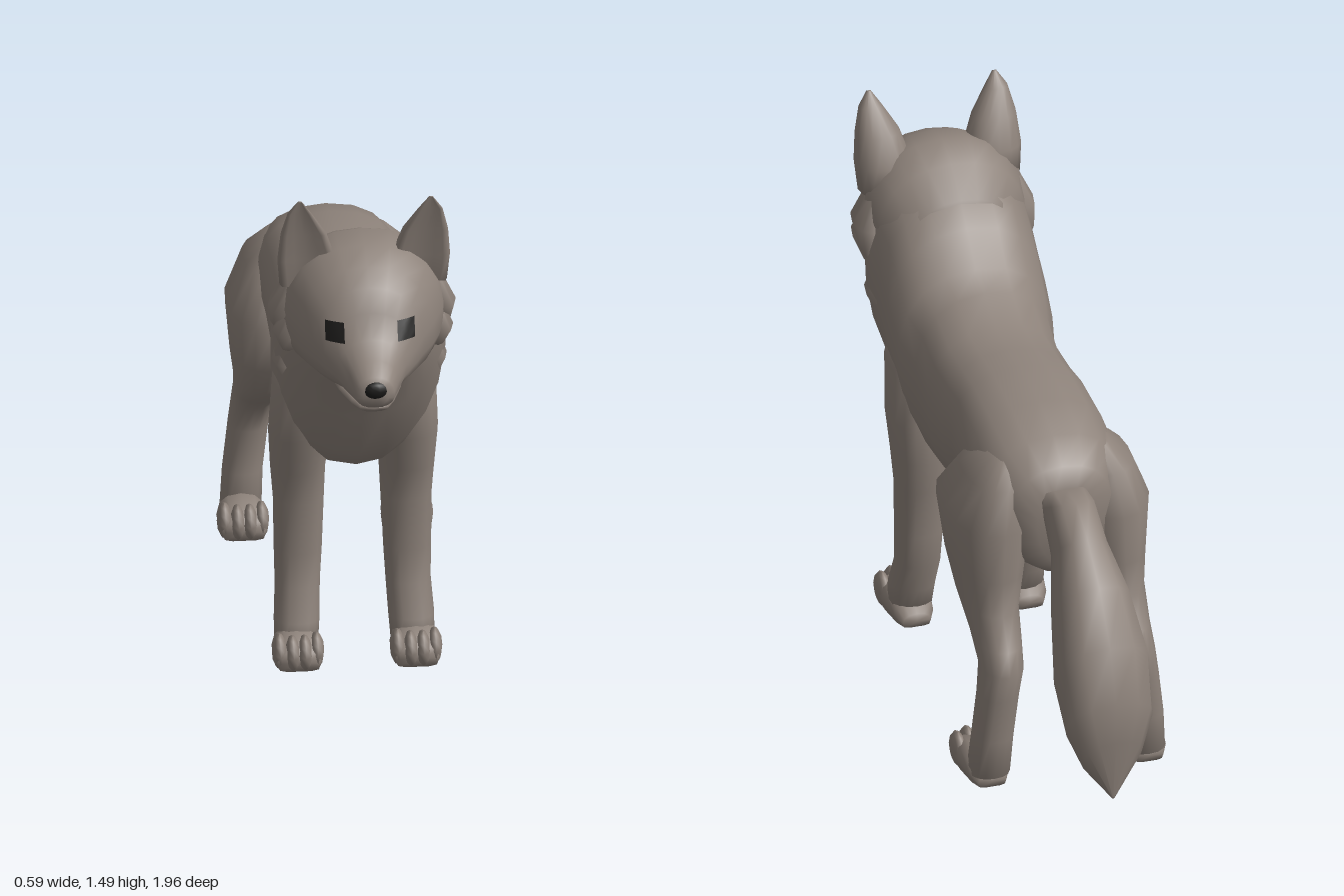
import * as THREE from 'three';

const fur = new THREE.MeshStandardMaterial({ color: 0x8d827a });
fur.name = 'grey fur';
const dark = new THREE.MeshStandardMaterial({ color: 0x1c1b1a });
dark.name = 'black';

// Loft through rings [x, y, z, halfWidth, halfDepth, pitch]; each ring spans the x axis and
// an axis pitched from +y towards +z. egg widens one end, dent hollows the front, pow squares.
function loft(rings, { sides = 16, egg = 0, dent = 0, pow = 0.88, floor = false } = {}) {
  const pos = [], idx = [];
  const bend = v => Math.sign(v) * Math.abs(v) ** pow;
  const put = (x, y, z) => pos.push(x, floor ? Math.max(y, 0) : y, z);
  rings.forEach(([x, y, z, a, b, p = 0]) => {
    for (let j = 0; j < sides; j++) {
      const t = (j / sides) * Math.PI * 2, c = bend(Math.cos(t)), s = bend(Math.sin(t));
      const d = s > 0 ? b * s * (1 - dent * s) : b * s;
      put(x + a * c * (1 + egg * s), y + d * Math.cos(p), z + d * Math.sin(p));
    }
  });
  const last = rings.length - 1, first = pos.length / 3;
  for (const i of [0, last]) put(rings[i][0], rings[i][1], rings[i][2]);
  for (let j = 0; j < sides; j++) {
    const k = (j + 1) % sides;
    for (let i = 0; i < last; i++) {
      const a = i * sides + j, b = i * sides + k;
      idx.push(a, b, b + sides, a, b + sides, a + sides);
    }
    idx.push(first, k, j, first + 1, last * sides + j, last * sides + k);
  }
  const g = new THREE.BufferGeometry();
  g.setAttribute('position', new THREE.Float32BufferAttribute(pos, 3));
  g.setIndex(idx);
  g.computeVertexNormals();
  return g;
}

// Slices [z, top, bottom, halfWidth] running back to front
const slices = list => list.map(([z, t, b, w]) => [0, (t + b) / 2, z, w, (t - b) / 2, 0]);
// Levels [y, x, z, halfWidth, halfDepth] running downwards, on side s
const levels = (list, s) => list.map(([y, x, z, w, d]) => [x * s, y, z, w, d, Math.PI / 2]);

const TORSO = [
  [-0.51, 0.87, 0.64, 0.08], [-0.48, 0.93, 0.6, 0.14], [-0.4, 0.985, 0.58, 0.19],
  [-0.27, 1.02, 0.6, 0.2], [-0.1, 1.035, 0.61, 0.197], [0, 1.03, 0.565, 0.195],
  [0.12, 1.035, 0.525, 0.195], [0.22, 1.085, 0.51, 0.2], [0.3, 1.115, 0.53, 0.22],
  [0.38, 1.2, 0.555, 0.225], [0.45, 1.27, 0.585, 0.225], [0.55, 1.3, 0.66, 0.235],
  [0.61, 1.28, 0.8, 0.22], [0.66, 1.25, 0.9, 0.18], [0.72, 1.18, 0.98, 0.1],
];
const HEAD = [
  [0.43, 1.26, 1.04, 0.15], [0.52, 1.325, 1.0, 0.21], [0.6, 1.36, 0.97, 0.235],
  [0.68, 1.345, 0.96, 0.215], [0.75, 1.31, 0.965, 0.185], [0.8, 1.27, 0.97, 0.152],
  [0.835, 1.21, 0.98, 0.127], [0.87, 1.145, 0.985, 0.095], [0.93, 1.11, 0.985, 0.07],
  [0.975, 1.08, 0.99, 0.053], [0.99, 1.065, 1.005, 0.035],
];
const JAW = [
  [0.7, 1.02, 0.96, 0.11], [0.82, 1.0, 0.957, 0.085], [0.9, 0.995, 0.957, 0.06],
  [0.945, 0.99, 0.965, 0.04], [0.96, 0.988, 0.975, 0.02],
];
const TAIL = [ // y, z, halfWidth, halfDepth, pitch
  [0.86, -0.45, 0.06, 0.07, 1.8], [0.84, -0.53, 0.07, 0.09, 2.1], [0.755, -0.63, 0.075, 0.105, 2.3],
  [0.64, -0.73, 0.11, 0.125, 2.4], [0.49, -0.825, 0.135, 0.137, 2.45], [0.36, -0.9, 0.125, 0.11, 2.5],
  [0.26, -0.925, 0.085, 0.075, 2.6], [0.14, -0.94, 0.004, 0.004, 2.8],
];
const FRONT_LEG = [
  [0.92, 0.12, 0.4, 0.04, 0.06], [0.82, 0.135, 0.385, 0.09, 0.12], [0.66, 0.148, 0.36, 0.085, 0.11],
  [0.55, 0.15, 0.34, 0.076, 0.093], [0.45, 0.148, 0.34, 0.07, 0.072], [0.3, 0.15, 0.345, 0.066, 0.063],
  [0.2, 0.152, 0.35, 0.062, 0.06], [0.11, 0.157, 0.385, 0.063, 0.063], [0.03, 0.16, 0.4, 0.06, 0.06],
];
const HIND_LEG = [
  [0.93, 0.13, -0.34, 0.04, 0.07], [0.87, 0.15, -0.33, 0.085, 0.14], [0.75, 0.17, -0.3, 0.115, 0.205],
  [0.6, 0.175, -0.325, 0.095, 0.178], [0.5, 0.18, -0.365, 0.075, 0.148], [0.42, 0.183, -0.455, 0.063, 0.115],
  [0.36, 0.188, -0.518, 0.058, 0.082], [0.28, 0.2, -0.527, 0.056, 0.064], [0.15, 0.215, -0.525, 0.056, 0.06],
  [0.03, 0.222, -0.51, 0.058, 0.06],
];
const EAR = [
  [1.49, 0.18, 0.7, 0.006, 0.006], [1.45, 0.18, 0.688, 0.033, 0.025], [1.38, 0.167, 0.668, 0.063, 0.052],
  [1.3, 0.157, 0.652, 0.08, 0.075], [1.22, 0.15, 0.64, 0.08, 0.075],
];
// Pointed fur at the cheeks and neck
const TUFTS = [
  [[1.24, 0.18, 0.61, 0.03, 0.04], [1.14, 0.215, 0.6, 0.043, 0.075], [1.08, 0.222, 0.57, 0.026, 0.05], [1.06, 0.235, 0.55, 0.004, 0.01]],
  [[1.16, 0.18, 0.63, 0.03, 0.04], [1.08, 0.205, 0.63, 0.043, 0.07], [1.02, 0.205, 0.6, 0.02, 0.045], [1.01, 0.21, 0.58, 0.004, 0.01]],
  [[1.04, 0.18, 0.53, 0.03, 0.05], [0.95, 0.205, 0.53, 0.035, 0.07], [0.89, 0.195, 0.52, 0.02, 0.045], [0.86, 0.19, 0.51, 0.004, 0.01]],
];

function add(parent, name, geometry, material = fur) {
  const mesh = new THREE.Mesh(geometry, material);
  mesh.name = name;
  parent.add(mesh);
  return mesh;
}

// Flat-soled paw with four toes; zTip is the front of the toes
function addPaw(parent, name, x, zTip) {
  const paw = new THREE.Group();
  paw.name = name;
  const sole = [[-0.22, 0.04, 0.04], [-0.19, 0.056, 0.07], [-0.12, 0.068, 0.1], [-0.06, 0.068, 0.085], [-0.025, 0.06, 0.06]];
  add(paw, 'pawPad', loft(sole.map(([z, w, h]) => [0, h * 0.4, z, w, h * 0.6, 0]), { floor: true, sides: 12 }));
  for (let i = 0; i < 4; i++) {
    const mid = i === 1 || i === 2, toe = new THREE.SphereGeometry(1, 8, 6);
    toe.scale(0.021, 0.05, 0.05);
    toe.translate((i - 1.5) * 0.034, 0.045, mid ? -0.05 : -0.068);
    const p = toe.attributes.position;
    for (let k = 0; k < p.count; k++) p.setY(k, Math.max(p.getY(k), 0));
    toe.computeVertexNormals();
    add(paw, 'toe', toe);
  }
  paw.position.set(x, 0, zTip);
  parent.add(paw);
}

// Thin eye patch that follows the face
function eyePatch(head, cx, cy) {
  const g = new THREE.PlaneGeometry(0.05, 0.052, 5, 5), p = g.attributes.position;
  const ray = new THREE.Raycaster();
  for (let i = 0; i < p.count; i++) {
    const x = p.getX(i) + cx, y = p.getY(i) + cy;
    ray.set(new THREE.Vector3(x, y, 2), new THREE.Vector3(0, 0, -1));
    const hit = ray.intersectObject(head)[0];
    p.setXYZ(i, x, y, (hit ? hit.point.z : 0.82) + 0.007);
  }
  g.computeVertexNormals();
  return g;
}

export function createModel() {
  const model = new THREE.Group();
  model.name = 'canine';
  add(model, 'torso', loft(slices(TORSO), { sides: 20, egg: 0.12 }));
  add(model, 'tail', loft(TAIL.map(([y, z, w, d, p]) => [0, y, z, w, d, p]), { sides: 12 }));

  const head = add(model, 'head', loft(slices(HEAD), { sides: 20, egg: -0.1 }));
  head.updateMatrixWorld();
  add(model, 'lowerJaw', loft(slices(JAW), { sides: 12 }));
  const nose = add(model, 'nose', new THREE.SphereGeometry(1, 10, 8), dark);
  nose.scale.set(0.036, 0.026, 0.02);
  nose.position.set(0, 1.045, 0.98);

  for (const s of [1, -1]) {
    const side = s > 0 ? 'left' : 'right';
    add(model, side + 'Ear', loft(levels(EAR, s), { dent: 0.85 }));
    add(model, side + 'Eye', eyePatch(head, 0.098 * s, 1.162), dark);
    TUFTS.forEach(t => add(model, side + 'FurTuft', loft(levels(t, s), { sides: 8 })));
    add(model, side + 'FrontLeg', loft(levels(FRONT_LEG, s)));
    add(model, side + 'HindLeg', loft(levels(HIND_LEG, s)));
    addPaw(model, side + 'FrontPaw', 0.162 * s, 0.54);
    addPaw(model, side + 'HindPaw', 0.225 * s, -0.338);
  }
  return model;
}
